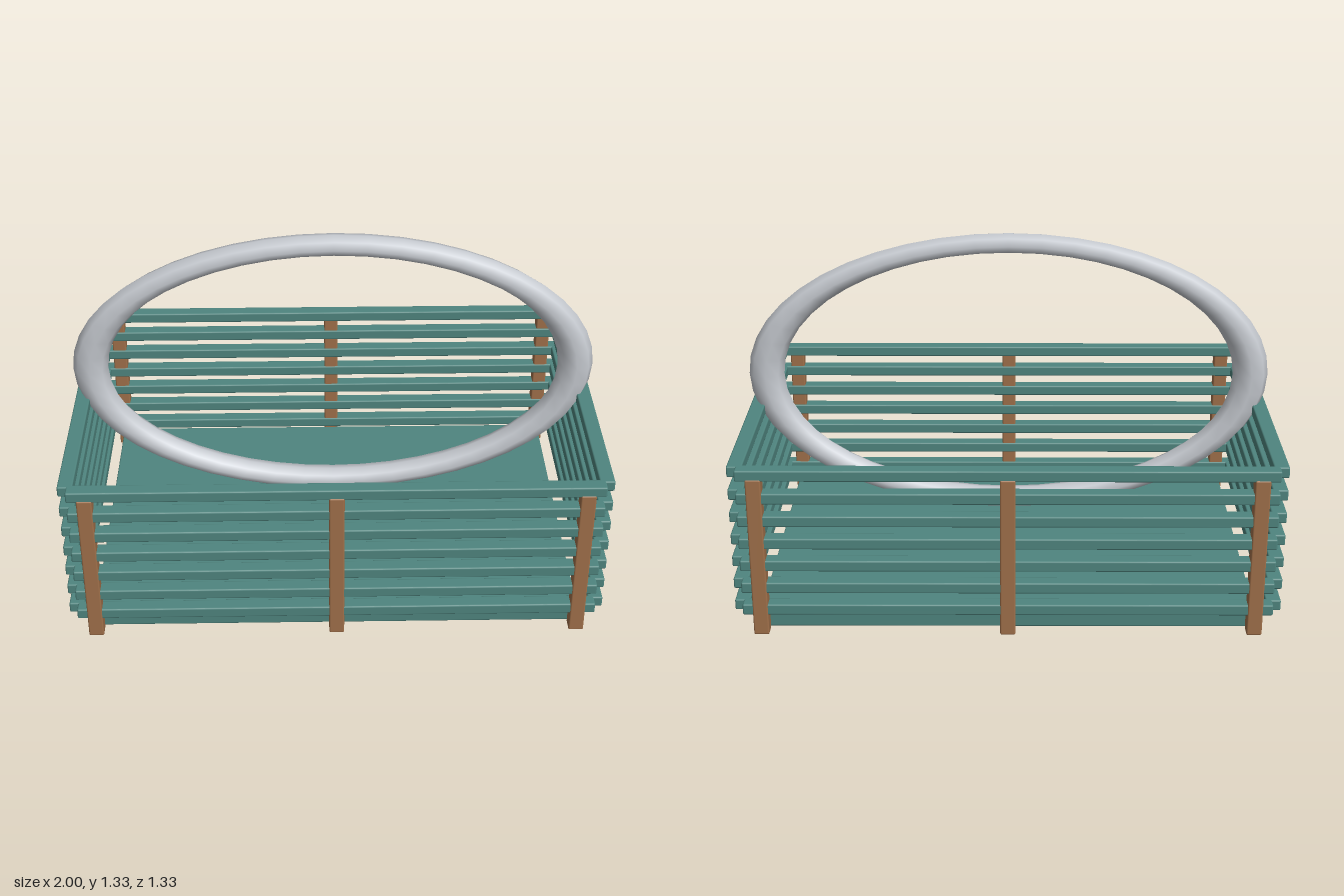
import * as THREE from 'three';
import { RoundedBoxGeometry } from 'three/addons/geometries/RoundedBoxGeometry.js';

export function createModel() {
  const basket = new THREE.Group();
  basket.name = 'basket';

  const paint = new THREE.MeshStandardMaterial({ name: 'teal paint', color: 0x4f857f });
  const wood = new THREE.MeshStandardMaterial({ name: 'brown wood', color: 0xa0704a });
  const metal = new THREE.MeshStandardMaterial({ name: 'pale grey', color: 0xc6cad0 });

  // Softly bevelled board spanning the given ranges
  const board = (name, material, [x0, x1], [y0, y1], [z0, z1]) => {
    const geometry = new RoundedBoxGeometry(x1 - x0, y1 - y0, z1 - z0, 2, 0.006);
    const mesh = new THREE.Mesh(geometry, material);
    mesh.position.set((x0 + x1) / 2, (y0 + y1) / 2, (z0 + z1) / 2);
    mesh.name = name;
    basket.add(mesh);
  };
  // Range mirrored when side is -1
  const range = (side, inner, outer) => (side > 0 ? [inner, outer] : [-outer, -inner]);

  // Floor
  board('floor', paint, [-0.905, 0.905], [0.006, 0.078], [-0.614, 0.614]);

  for (const side of [1, -1]) {
    // Three posts along each long wall
    for (const x of [-0.9, 0, 0.9]) {
      board('post', wood, [x - 0.028, x + 0.028], [0, 0.62], range(side, 0.614, 0.667));
    }
    // Seven slats on each wall
    for (let i = 0; i < 7; i++) {
      const y = 0.101 + i * 0.0887;
      const height = [y - 0.021, y + 0.021];
      board('longSlat', paint, [-0.965, 0.965], height, range(side, 0.61, 0.664));
      board('endSlat', paint, range(side, 0.942, 0.998), height, [-0.626, 0.626]);
    }
  }

  // Oval handle ring: a torus flattened in height and depth
  const handle = new THREE.Mesh(new THREE.TorusGeometry(0.9325, 0.0675, 8, 48), metal);
  handle.name = 'handle';
  handle.scale.set(1, 0.56, 0.82);
  handle.position.y = 0.77;
  basket.add(handle);

  return basket;
}
